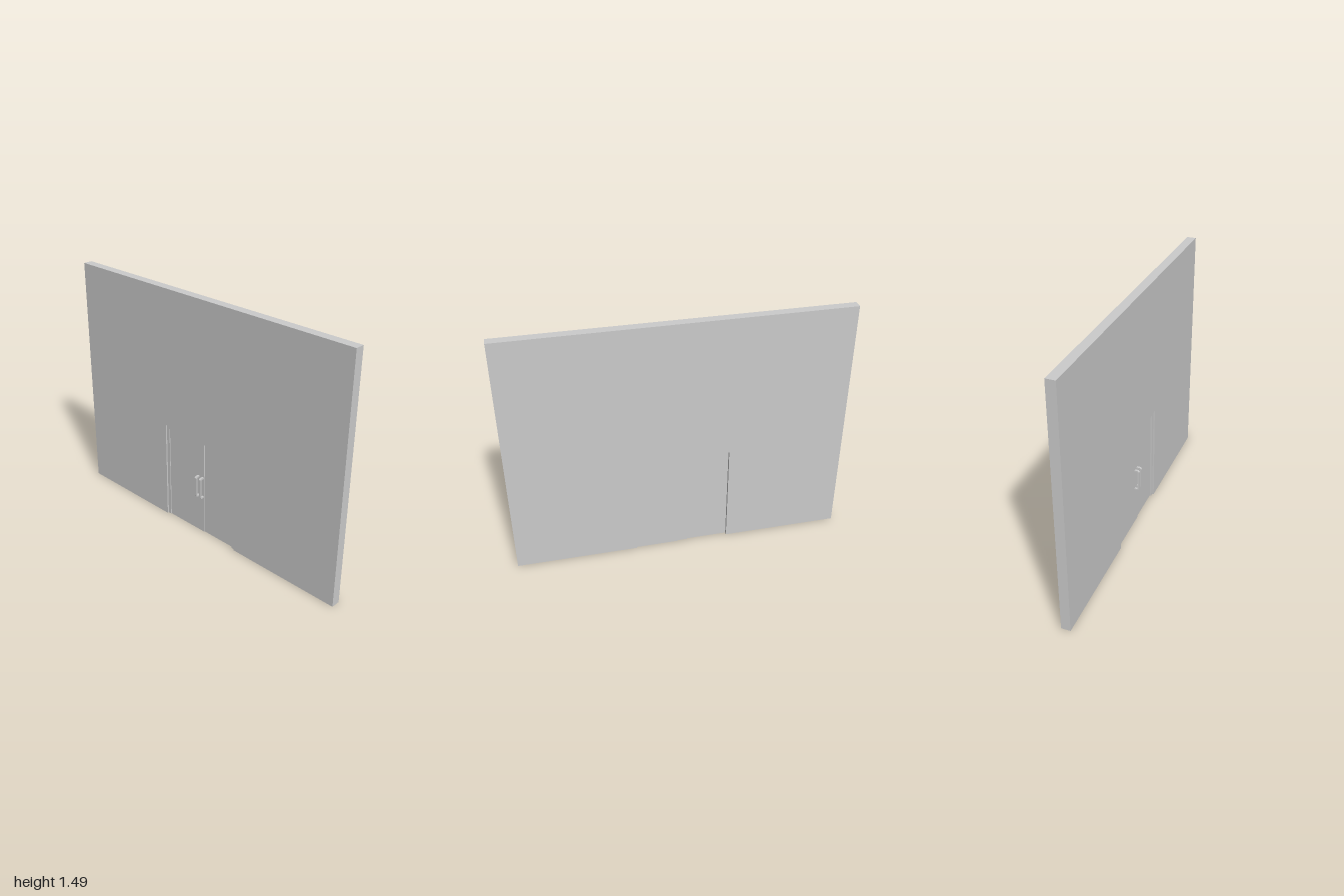
import * as THREE from 'three';

const material = new THREE.MeshStandardMaterial({ color: 0xcccccc, flatShading: true });

// Extrudes an outline of [x, y] points from z = back to z = front.
function slab(name, points, back, front) {
  const shape = new THREE.Shape(points.map(([x, y]) => new THREE.Vector2(x, y)));
  const geometry = new THREE.ExtrudeGeometry(shape, { depth: front - back, bevelEnabled: false });
  geometry.translate(0, 0, back);
  const mesh = new THREE.Mesh(geometry, material);
  mesh.name = name;
  return mesh;
}

// Box given by its limits.
function panel(name, x0, x1, y0, y1, z0, z1) {
  const mesh = new THREE.Mesh(new THREE.BoxGeometry(x1 - x0, y1 - y0, z1 - z0), material);
  mesh.position.set((x0 + x1) / 2, (y0 + y1) / 2, (z0 + z1) / 2);
  mesh.name = name;
  return mesh;
}

// D-shaped pull handle: a side profile in (z, y) with chamfered corners, extruded along x.
function pullHandle(name, x) {
  const foot = 0.004, out = 0.035, low = 0.245, high = 0.385, t = 0.009, c = 0.009, width = 0.014;
  const profile = [
    [foot, low], [out - c, low], [out, low + c], [out, high - c], [out - c, high], [foot, high],
    [foot, high - t], [out - c - 0.003, high - t], [out - t, high - t - 0.006],
    [out - t, low + t + 0.006], [out - c - 0.003, low + t], [foot, low + t],
  ];
  const mesh = slab(name, profile, -width / 2, width / 2);
  mesh.rotation.y = -Math.PI / 2; // profile x becomes +z
  mesh.position.x = x;
  return mesh;
}

export function createModel() {
  const model = new THREE.Group();
  model.name = 'wallWithDoubleDoor';

  const left = -0.295, right = 0.275, top = 0.63, frame = 0.022;

  // Wall with a doorway cut up from the floor
  model.add(slab('wall', [
    [-1, 0], [left, 0], [left, top], [right, top], [right, 0], [1, 0], [1, 1.487], [-1, 1.487],
  ], -0.035, 0.02));

  // Frame lining the doorway
  model.add(slab('doorFrame', [
    [left, 0], [left + frame, 0], [left + frame, top - frame], [right - frame, top - frame],
    [right - frame, 0], [right, 0], [right, top], [left, top],
  ], -0.017, 0.011));

  // Two rebated leaves that overlap in the middle
  const doors = new THREE.Group();
  doors.name = 'doors';
  doors.add(panel('frontLeaf', left, 0.017, 0, top, -0.017, 0.006));
  doors.add(panel('rearLeaf', 0.017, right, 0, top, -0.027, 0.001));
  doors.add(panel('rearLeafLip', -0.045, 0.017, 0, top, -0.022, -0.017));
  model.add(doors);

  // Pair of handles
  for (const side of [-1, 1]) {
    model.add(pullHandle(side < 0 ? 'rightHandle' : 'leftHandle', -0.01 + side * 0.0175));
  }
  return model;
}
